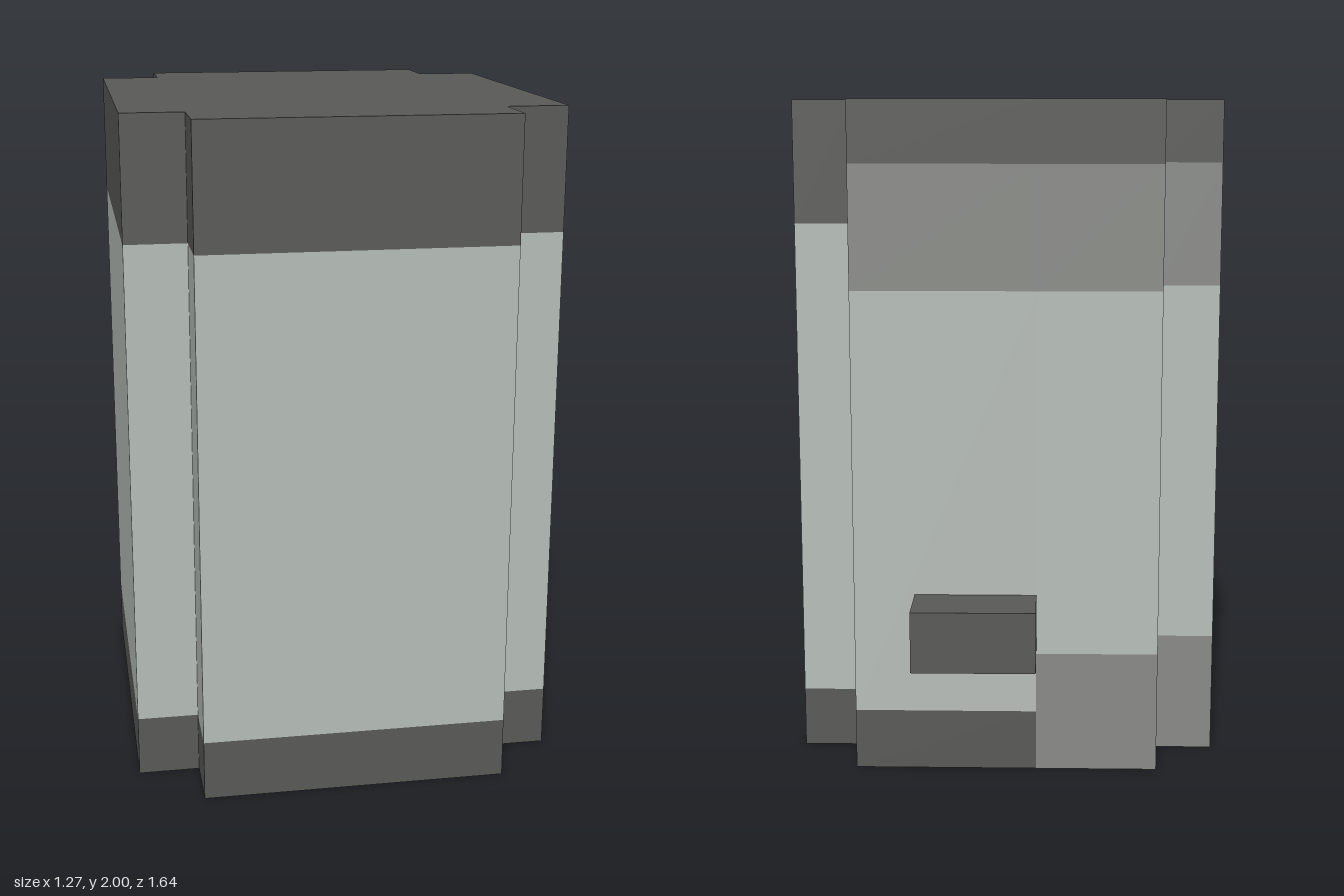
import * as THREE from 'three';

const U = 2 / 11; // one grid cell; the body is 11 cells tall

export function createModel() {
  const group = new THREE.Group();
  const mat = (name, color) => {
    const m = new THREE.MeshStandardMaterial({ color });
    m.name = name;
    return m;
  };
  const dark = mat('dark grey', 0x5a5b58);
  const mid = mat('mid grey', 0x8a8c88);
  const pale = mat('pale grey', 0xb8bfba);

  const add = (name, geometry, material) => {
    const mesh = new THREE.Mesh(geometry, material);
    mesh.name = name;
    group.add(mesh);
  };

  // Wall patterns from the bottom up: [bottom, top, material]
  const plain = [[0, 1, dark], [1, 9, pale], [9, 11, dark]];
  const banded = [[0, 2, mid], [2, 8, pale], [8, 10, mid], [10, 11, dark]];
  const halfBanded = [[0, 1, dark], [1, 8, pale], [8, 10, mid], [10, 11, dark]];

  // Outline with notched corners: x, z and the pattern of the wall that starts there
  const outline = [
    [-2.5, 4.5, plain], [2.5, 4.5, plain], [2.5, 3.5, plain],
    [3.5, 3.5, banded], [3.5, -2.5, plain], [2.5, -2.5, plain],
    [2.5, -3.5, halfBanded], [-0.5, -3.5, banded], [-2.5, -3.5, plain],
    [-2.5, -2.5, banded], [-3.5, -2.5, plain], [-3.5, 3.5, plain], [-2.5, 3.5, plain],
  ];

  // Body walls, one flat panel per colour band
  outline.forEach(([x, z, bands], i) => {
    const [nx, nz] = outline[(i + 1) % outline.length];
    const dx = nx - x, dz = nz - z;
    for (const [y0, y1, material] of bands) {
      const panel = new THREE.PlaneGeometry(Math.hypot(dx, dz) * U, (y1 - y0) * U);
      panel.rotateY(Math.atan2(-dz, dx));
      panel.translate((x + nx) / 2 * U, (y0 + y1) / 2 * U, (z + nz) / 2 * U);
      add('wallPanel', panel, material);
    }
  });

  // Top and bottom caps
  const cap = (s) => new THREE.ShapeGeometry(
    new THREE.Shape(outline.map(([x, z]) => new THREE.Vector2(x * U, s * z * U))));
  add('topCap', cap(-1).rotateX(-Math.PI / 2).translate(0, 11 * U, 0), dark);
  add('bottomCap', cap(1).rotateX(Math.PI / 2), dark);

  // Small block sticking out of the back
  add('backBlock', new THREE.BoxGeometry(2 * U, U, U).translate(0.5 * U, 2.5 * U, -4 * U), dark);

  return group;
}
